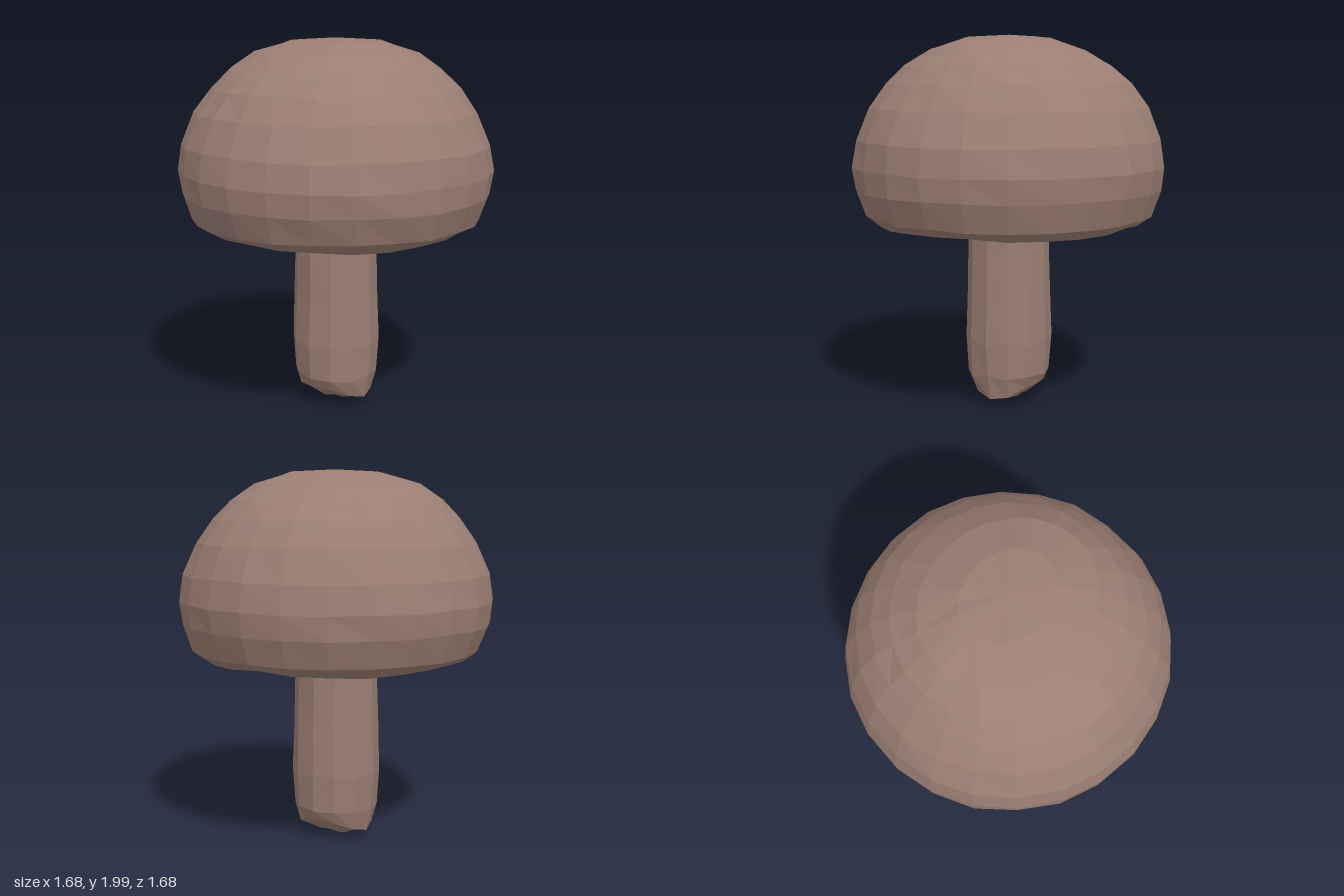
import * as THREE from 'three';

const brown = new THREE.MeshStandardMaterial({ color: 0x9b7e73, flatShading: true });
brown.name = 'mushroomBrown';

// Repeatable noise in -1..1 from two integers
function noise(i, j) {
  const s = Math.sin(i * 127.1 + j * 311.7 + 4.2) * 43758.5453;
  return (s - Math.floor(s)) * 2 - 1;
}

// Faceted lathe whose vertices are nudged by a rule; the seam stays closed
function roughLathe(name, profile, sides, rough, bend) {
  const geo = new THREE.LatheGeometry(profile.map(([r, y]) => new THREE.Vector2(r, y)), sides);
  const pos = geo.attributes.position;
  const v = new THREE.Vector3();
  for (let k = 0; k < pos.count; k++) {
    const row = k % profile.length;
    const side = Math.floor(k / profile.length) % sides;
    v.fromBufferAttribute(pos, k);
    if (profile[row][0] > 0.01) {
      const grow = 1 + noise(side, row) * rough;
      v.x *= grow;
      v.z *= grow;
      v.y += noise(side + 50, row) * rough;
      bend(v);
    }
    pos.setXYZ(k, v.x, v.y, v.z);
  }
  geo.computeVertexNormals();
  const mesh = new THREE.Mesh(geo, brown);
  mesh.name = name;
  return mesh;
}

export function createModel() {
  const group = new THREE.Group();
  group.name = 'mushroom';

  // Cap: shallow hollow underside, sloping rim, then the dome with a crown drawn out along x
  const cap = [
    [0, 1.31], [0.3, 1.31], [0.43, 1.29], [0.53, 1.22], [0.595, 1.12], [0.65, 1.04], [0.7, 1.01],
    [0.775, 1.05], [0.828, 1.19], [0.842, 1.31], [0.82, 1.45], [0.75, 1.615],
    [0.66, 1.74], [0.55, 1.835], [0.4, 1.92], [0.21, 1.983], [0, 1.999],
  ];
  group.add(roughLathe('cap', cap, 24, 0.005, (v) => {
    if (v.y > 1.8) v.x *= 1 + (v.y - 1.8) * 1.2;
    // The lower rim dips on the diagonals
    if (v.y < 1.03) v.y -= 0.03 * Math.abs(v.x * v.z) / (v.x * v.x + v.z * v.z);
    v.y = Math.min(v.y, 1.997);
  }));

  // Stem: wedge-like foot, slight belly, flare where it meets the hollow
  const stem = [
    [0, 0.005], [0.1, 0.025], [0.2, 0.045], [0.23, 0.17], [0.243, 0.36], [0.235, 0.6],
    [0.228, 0.85], [0.225, 1.09], [0.27, 1.2], [0.36, 1.32],
  ];
  group.add(roughLathe('stem', stem, 12, 0.012, (v) => {
    v.z *= 0.96;
    if (v.y < 0.1) v.y += v.z * v.z * 2;
  }));

  return group;
}
